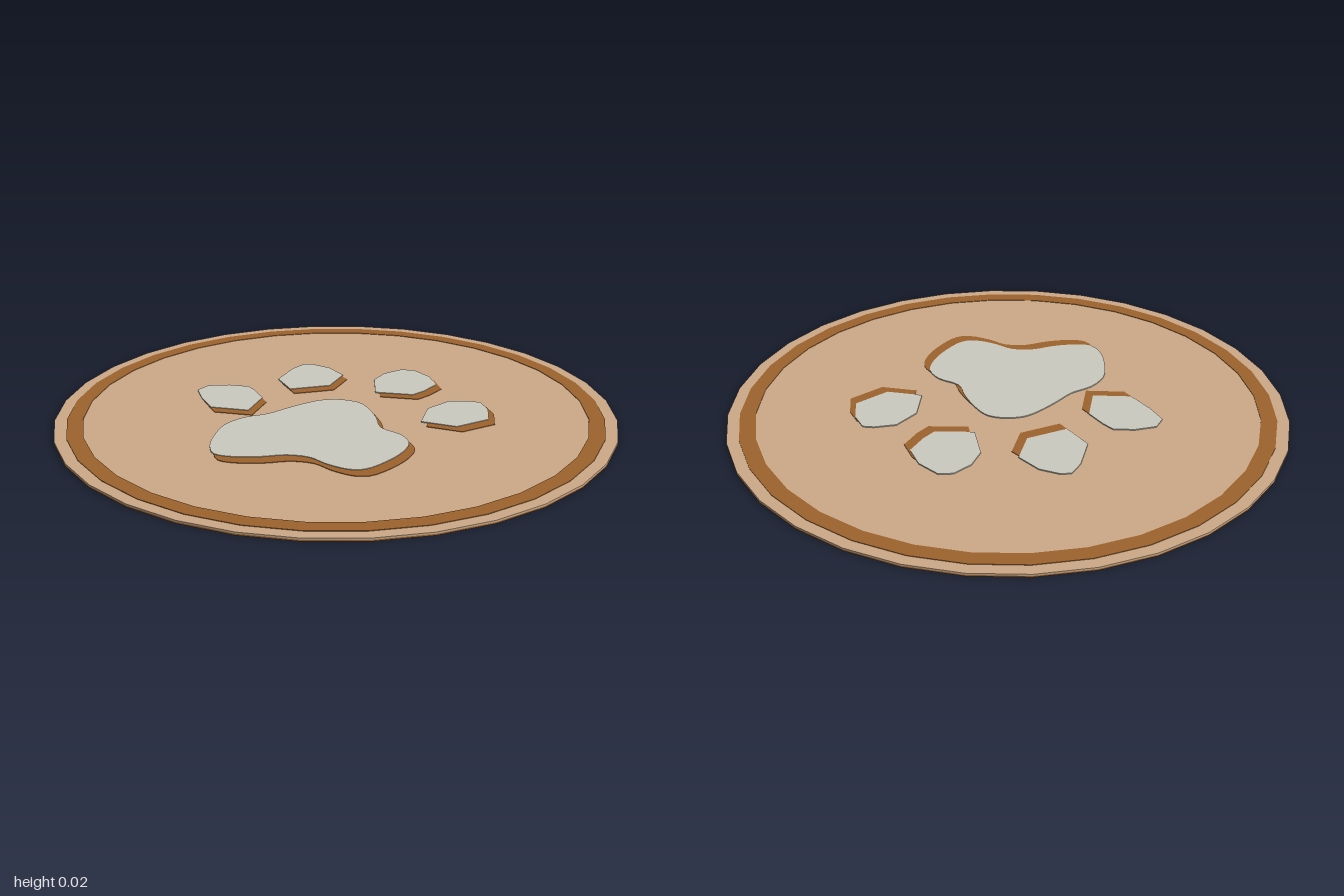
import * as THREE from 'three';

const mat = (name, color) => {
  const m = new THREE.MeshStandardMaterial({ color });
  m.name = name;
  return m;
};

// Paw outlines as [x, z], in hundredths
const PAD = [[0, -10], [-7, -8], [-13, -2], [-18, 5], [-22, 11], [-29, 17], [-33, 25], [-33, 34],
  [-31, 44], [-27, 50], [-21, 50.5], [-12, 48], [-4, 44], [4, 43.5], [11, 47], [19, 49], [24, 47.5],
  [29, 40], [32.5, 30], [32.5, 22], [28, 16], [20, 12], [16, 3.5], [10, -5.5], [6, -9]];
const TOES = [
  [[-38.5, -13], [-35, -10], [-29.5, -3.5], [-30, 10], [-44, 11], [-51, 3], [-55.5, -4], [-53.5, -9.5], [-46, -12.5]],
  [[-23, -44], [-15.5, -42], [-8, -35.5], [-9.5, -23], [-22.5, -15], [-30.5, -24], [-29, -37], [-26.5, -43]],
  [[17, -49], [24.5, -43.5], [29, -35.5], [26, -27.5], [23, -22.5], [9, -21], [5, -34], [7, -42], [12, -48]],
  [[48.5, -22], [52.5, -16], [54.5, -6.5], [45, 3.5], [32, 2.5], [31.5, -10.5], [37, -19.5], [44.5, -22]],
];

// Thin flat plate cut from a shape, lying on height y
function plate(shape, y, depth, material, name) {
  const geo = new THREE.ExtrudeGeometry(shape, { depth, bevelEnabled: false, curveSegments: 32 });
  geo.rotateX(-Math.PI / 2);
  const mesh = new THREE.Mesh(geo, material);
  mesh.position.y = y;
  mesh.name = name;
  return mesh;
}

function outline(points, smooth) {
  let pts = points.map(([x, z]) => new THREE.Vector2(x / 100, -z / 100));
  if (smooth) {
    const curve = new THREE.CatmullRomCurve3(pts.map(p => new THREE.Vector3(p.x, p.y, 0)), true);
    pts = curve.getPoints(75).slice(0, -1).map(p => new THREE.Vector2(p.x, p.y));
  }
  return new THREE.Shape(pts);
}

const circle = r => Array.from({ length: 32 }, (_, i) => {
  const a = i / 32 * Math.PI * 2;
  return new THREE.Vector2(r * Math.cos(a), r * Math.sin(a));
});

export function createModel() {
  const group = new THREE.Group();
  group.name = 'pawDisc';
  const tan = mat('tan', 0xcdab88);
  const brown = mat('brown', 0x9f642e);
  const grey = mat('paleGrey', 0xcbcbc1);

  // Disc: brown underside, tan upper layer
  const disc = (y0, y1, material, name) => {
    const mesh = new THREE.Mesh(new THREE.CylinderGeometry(1, 1, y1 - y0, 32), material);
    mesh.position.y = (y0 + y1) / 2;
    mesh.name = name;
    group.add(mesh);
  };
  disc(0, 0.005, brown, 'discUnderside');
  disc(0.005, 0.011, tan, 'discTop');

  // Border ring
  const ring = new THREE.Shape(circle(0.957));
  ring.holes.push(new THREE.Path(circle(0.9)));
  group.add(plate(ring, 0.011, 0.002, brown, 'borderRing'));

  // Paw print, each piece with an offset brown layer beneath it
  const addPrint = (points, smooth, dx, dz, name) => {
    const shape = outline(points, smooth);
    const under = plate(shape, 0.011, 0.002, brown, name + 'Shadow');
    under.position.x = dx;
    under.position.z = dz;
    group.add(under, plate(shape, 0.011, 0.004, grey, name));
  };
  addPrint(PAD, true, 0.03, 0.04, 'pad');
  TOES.forEach((t, i) => addPrint(t, false, 0.028, 0.036, 'toe' + (i + 1)));
  return group;
}
